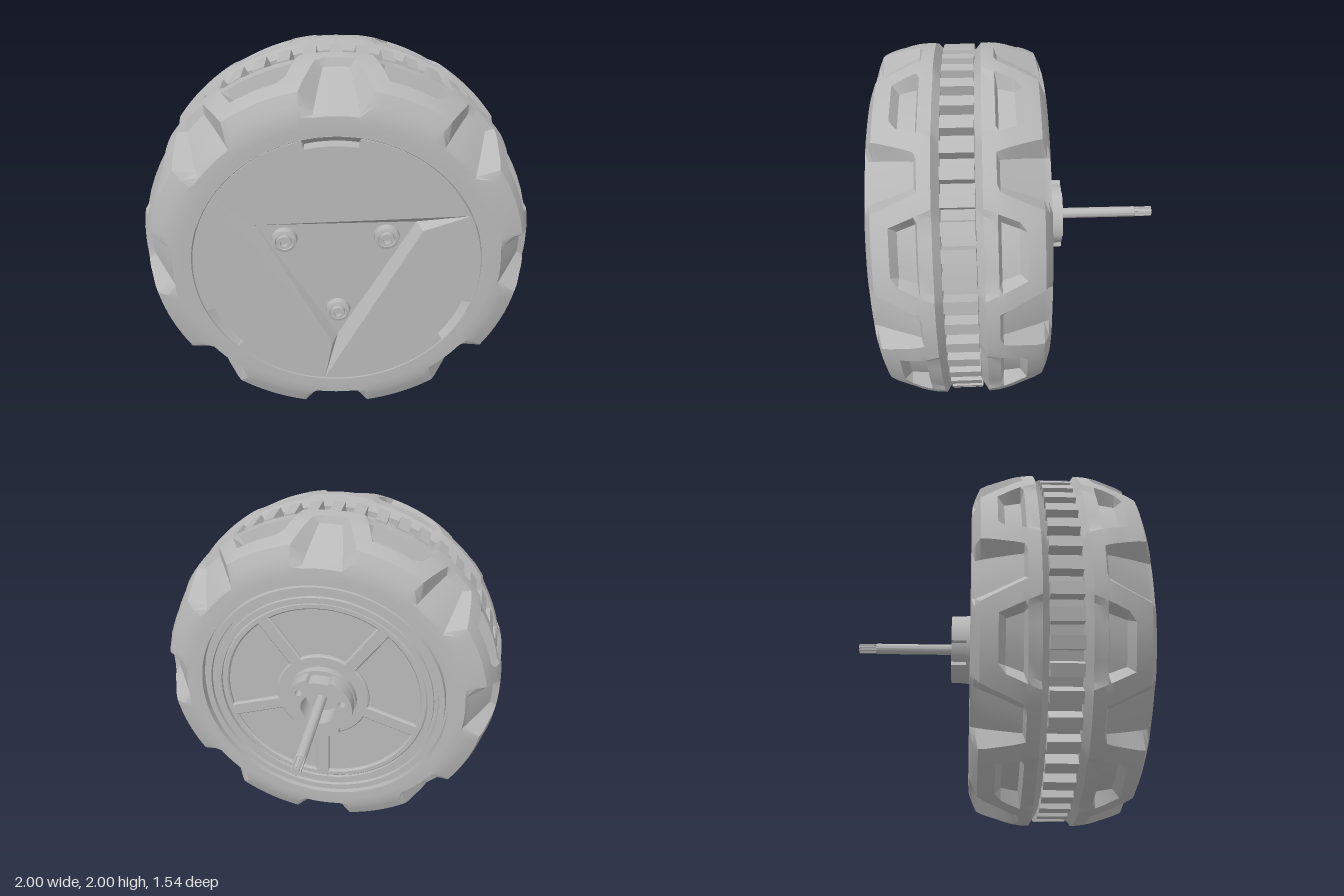
import * as THREE from 'three';
import { toCreasedNormals } from 'three/addons/utils/BufferGeometryUtils.js';

const grey = new THREE.MeshStandardMaterial({ color: 0xb8b8b8 });
grey.name = 'grey plastic';

const DEG = Math.PI / 180;
const MID = 0.3175; // centre plane of the tyre
const polar = (r, deg) => new THREE.Vector2(r * Math.cos(deg * DEG), r * Math.sin(deg * DEG));
const { lerp, clamp } = THREE.MathUtils;
const ramp = (x, x0, x1, a, b) => lerp(a, b, clamp((x - x0) / (x1 - x0), 0, 1));

function add(parent, name, geometry) {
  const mesh = new THREE.Mesh(geometry, grey);
  mesh.name = name;
  parent.add(mesh);
  return mesh;
}

// Turned part about z; points are [radius, z]
function turned(points, sides = 96) {
  const g = new THREE.LatheGeometry(points.map(p => new THREE.Vector2(...p)), sides);
  return toCreasedNormals(g.rotateX(Math.PI / 2), 0.5);
}

// Shape pushed along z from z0 to z1
function pushed(shape, z0, z1, bevel = 0) {
  const g = new THREE.ExtrudeGeometry(shape, {
    depth: z1 - z0 - 2 * bevel, curveSegments: 48, bevelEnabled: bevel > 0,
    bevelSize: bevel, bevelThickness: bevel, bevelOffset: -bevel, bevelSegments: 1,
  });
  return toCreasedNormals(g.translate(0, 0, z0 + bevel), 0.5);
}

function circleHole(r, centre = new THREE.Vector2()) {
  return new THREE.Path().absarc(centre.x, centre.y, r, 0, Math.PI * 2, true);
}

// One tyre half: a ring whose shoulder notches and groove pockets alternate
function tyreHalf() {
  // [distance from the centre groove, radius]
  const rows = [[0, 0.86], [0, 0.945], [0.035, 1], [0.08, 0.997], [0.1, 0.994], [0.115, 0.992],
    [0.13, 0.989], [0.165, 0.98], [0.2, 0.968], [0.235, 0.957], [0.28, 0.943], [0.32, 0.925],
    [0.345, 0.87], [0.362, 0.82], [0.365, 0.77], [0.365, 0.715], [0.28, 0.715]];
  const grid = rows.map(([d, r], row) => {
    const end = row === rows.length - 1;
    // half widths, in degrees, at the top and floor of each cut
    const notchTop = ramp(d, 0.08, 0.345, 4.8, 11.3), notchFloor = ramp(d, 0.08, 0.345, 3.2, 7.5);
    const pocketTop = ramp(d, 0, 0.235, 13.5, 8), pocketFloor = pocketTop - 2;
    let rNotch = r, rPocket = r;
    if (!end && d > 0.1) rNotch = Math.min(r, ramp(d, 0.115, 0.355, 0.955, 0.81));
    // a low rib closes the pocket towards the groove
    if (d <= 0.1) rPocket = Math.min(r, 0.983);
    else if (d <= 0.2) rPocket = 0.915;
    const flank = 22.5 - pocketTop;
    const half = [[0, rNotch], [notchFloor / 2, rNotch], [notchFloor, rNotch], [notchTop, r],
      [(notchTop + flank) / 2, r], [flank, r], [22.5 - pocketFloor, rPocket],
      [22.5 - pocketFloor / 2, rPocket]];
    const mirrored = half.slice(1).reverse().map(([a, q]) => [45 - a, q]);
    const period = [...half, [22.5, rPocket], ...mirrored];
    const ring = [];
    for (let k = 0; k < 8; k++) {
      for (const [a, q] of period) {
        const p = polar(q, a + 45 * k);
        ring.push([p.x, p.y, 0.0825 + d]);
      }
    }
    return ring;
  });
  const n = grid[0].length, position = [], index = [];
  grid.forEach(ring => ring.forEach(p => position.push(...p)));
  for (let i = 0; i < grid.length - 1; i++) {
    for (let j = 0; j < n; j++) {
      const a = i * n + j, b = i * n + (j + 1) % n;
      index.push(a, b, b + n, a, b + n, a + n);
    }
  }
  const g = new THREE.BufferGeometry();
  g.setAttribute('position', new THREE.Float32BufferAttribute(position, 3));
  g.setIndex(index);
  return toCreasedNormals(g, 0.4);
}

// Toothed outline, used for the belt and the shaft tip
function toothedShape(count, low, high) {
  const pts = [], step = 360 / count;
  for (let i = 0; i < count; i++) {
    const a = i * step;
    pts.push(polar(low, a - step * 0.29), polar(high, a - step * 0.25),
      polar(high, a + step * 0.25), polar(low, a + step * 0.29));
  }
  return new THREE.Shape(pts);
}

// Front cover: three plates around a sunken, twisted triangle
function frontCover() {
  const cover = new THREE.Group();
  cover.name = 'frontCover';
  const top = 0.765, floor = 0.7;
  const P = k => polar(0.708, 25 + 120 * k);
  const T = k => polar(0.47, 147.5 + 120 * k);
  const Q = k => polar(0.455, 151 + 120 * k);
  // The sloping rim shows through the slots in the plates
  add(cover, 'coverFloor', turned([[0.712, 0.62], [0.712, 0.762], [0.665, floor], [0, floor]]));

  const walls = [];
  const corner = (v, z) => [v.x, v.y, z];
  for (let k = 0; k < 3; k++) {
    // rim arc with one slot, closed by the inner corner
    const pts = [];
    for (let a = 25; a <= 145; a += 2) {
      const rim = polar(0.708, a + 120 * k), slot = polar(0.665, a + 120 * k);
      if (a === 81) pts.push(rim, slot);
      else if (a === 103) pts.push(slot, rim);
      else pts.push(a > 81 && a < 103 ? slot : rim);
    }
    pts.push(T(k));
    add(cover, 'coverPlate', pushed(new THREE.Shape(pts), 0.66, top));

    // Sloping walls from the plate edge down to the floor
    const t = corner(T(k), top), p = corner(P(k), top), next = corner(P(k + 1), top);
    const q = corner(Q(k), floor + 0.001), prev = corner(Q(k + 2), floor + 0.001);
    walls.push(...t, ...q, ...prev, ...t, ...prev, ...p, ...next, ...q, ...t);

    // Socket-head screw in a raised cup
    const screw = add(cover, 'coverScrew', turned([[0.064, 0], [0.06, 0.03], [0.045, 0.034],
      [0.042, 0.024], [0.036, 0.024], [0.034, 0.045], [0.02, 0.045], [0.02, 0.025], [0, 0.025]], 30));
    const at = polar(0.29, 151.7 + 120 * k);
    screw.position.set(at.x, at.y, floor);
  }
  const g = new THREE.BufferGeometry();
  g.setAttribute('position', new THREE.Float32BufferAttribute(walls, 3));
  g.computeVertexNormals();
  add(cover, 'coverWalls', g);
  return cover;
}

// Back cover: stepped rings and a plate with five windows
function backCover() {
  const cover = new THREE.Group();
  cover.name = 'backCover';
  add(cover, 'backRings', turned([[0, -0.085], [0.6, -0.085], [0.602, -0.115], [0.635, -0.115],
    [0.638, -0.1], [0.66, -0.1], [0.663, -0.118], [0.698, -0.118], [0.702, -0.08], [0.72, -0.08]]));
  const plate = new THREE.Shape().absarc(0, 0, 0.601, 0, Math.PI * 2);
  for (let k = 0; k < 5; k++) {
    const pts = [], mid = 90 + 72 * k;
    for (const [r, dir] of [[0.56, 1], [0.27, -1]]) {
      const span = 36 - Math.asin(0.04 / r) / DEG;
      for (let i = -8; i <= 8; i++) pts.push(polar(r, mid + dir * span * i / 8));
    }
    plate.holes.push(new THREE.Path(pts));
  }
  add(cover, 'spokedPlate', pushed(plate, -0.106, -0.07, 0.008));
  return cover;
}

// Hub with three side flats, screw holes and a central well
function hub() {
  const group = new THREE.Group();
  group.name = 'hub';
  const base = new THREE.Shape().absarc(0, 0, 0.2, 0, Math.PI * 2);
  base.holes.push(circleHole(0.1));
  add(group, 'hubBase', pushed(base, -0.15, -0.1));
  const pts = [];
  for (let a = 0; a < 360; a += 3) pts.push(polar(Math.abs(a % 120 - 90) < 20 ? 0.172 : 0.195, a));
  const body = new THREE.Shape(pts);
  body.holes.push(circleHole(0.1));
  for (let k = 0; k < 3; k++) body.holes.push(circleHole(0.02, polar(0.145, 40 + 120 * k)));
  add(group, 'hubBody', pushed(body, -0.235, -0.15));
  return group;
}

export function createModel() {
  const model = new THREE.Group();
  model.name = 'wheel';
  const wheel = new THREE.Group();
  wheel.name = 'wheelAssembly';
  wheel.position.y = 1;
  model.add(wheel);

  // Two mirrored tyre halves with a toothed belt between them
  const tyre = tyreHalf();
  add(wheel, 'frontTyre', tyre).position.z = MID;
  const backTyre = add(wheel, 'backTyre', tyre);
  backTyre.position.z = MID;
  backTyre.rotation.x = Math.PI;
  add(wheel, 'toothedBelt', pushed(toothedShape(48, 0.915, 0.978), 0.237, 0.398));

  wheel.add(frontCover(), backCover(), hub());

  // Drive shaft with a splined tip
  add(wheel, 'shaft', turned([[0, -0.675], [0.027, -0.675], [0.03, -0.67], [0.03, -0.07]], 32));
  add(wheel, 'splinedTip', pushed(toothedShape(8, 0.021, 0.028), -0.773, -0.67));
  return model;
}
